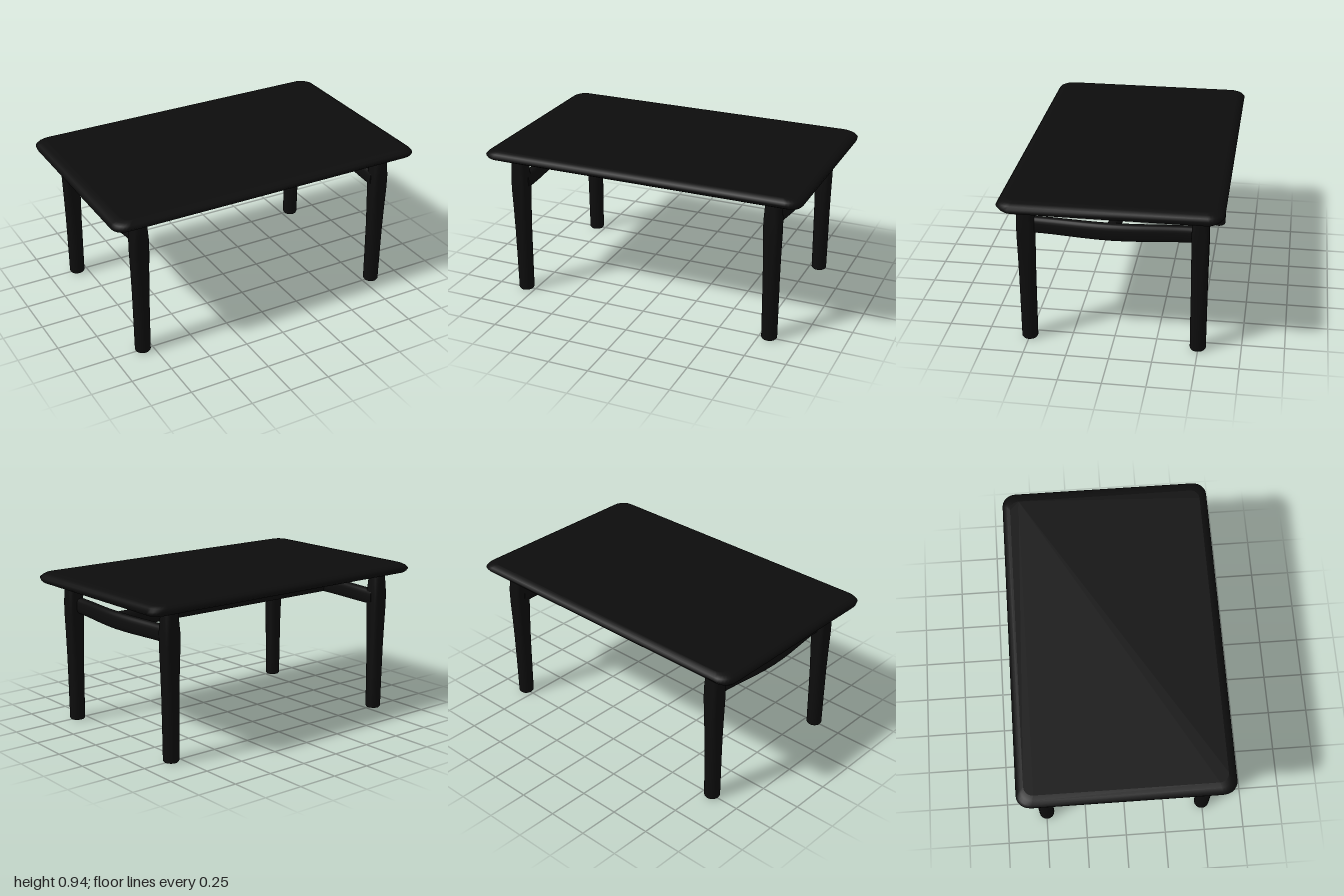
import * as THREE from 'three';

const paint = new THREE.MeshStandardMaterial({ color: 0x0d0d0d });

// Skin over closed rings (each counterclockwise seen from the far end), with flat caps.
function loft(name, rings) {
  const n = rings[0].length, last = rings.length - 1;
  const pos = [], idx = [];
  const add = (ring) => ring.forEach((p) => pos.push(...p));
  rings.forEach(add);
  for (let i = 0; i < last; i++) {
    for (let j = 0; j < n; j++) {
      const a = i * n + j, b = i * n + (j + 1) % n;
      idx.push(a, b, b + n, a, b + n, a + n);
    }
  }
  [rings[0], rings[last]].forEach((ring, end) => {
    const s = pos.length / 3;
    add(ring);
    for (let j = 1; j < n - 1; j++) {
      if (end) idx.push(s, s + j, s + j + 1);
      else idx.push(s, s + j + 1, s + j);
    }
  });
  const geo = new THREE.BufferGeometry();
  geo.setAttribute('position', new THREE.Float32BufferAttribute(pos, 3));
  geo.setIndex(idx);
  geo.computeVertexNormals();
  const mesh = new THREE.Mesh(geo, paint);
  mesh.name = name;
  return mesh;
}

// Superellipse outline: power 2 is round, higher is squarer.
function oval(rx, ry, power, n = 24) {
  const bend = (v) => Math.sign(v) * Math.pow(Math.abs(v), 2 / power);
  return Array.from({ length: n }, (_, i) => {
    const a = (i / n) * Math.PI * 2;
    return [rx * bend(Math.cos(a)), ry * bend(Math.sin(a))];
  });
}

// Rectangle outline with rounded corners.
function roundedRect(hx, hz, r, steps = 6) {
  const pts = [];
  [[1, 1], [-1, 1], [-1, -1], [1, -1]].forEach(([sx, sz], q) => {
    for (let i = 0; i <= steps; i++) {
      const a = (q + i / steps) * Math.PI / 2;
      pts.push([sx * (hx - r) + r * Math.cos(a), sz * (hz - r) + r * Math.sin(a)]);
    }
  });
  return pts;
}

export function createModel() {
  const table = new THREE.Group();
  table.name = 'table';

  // Top with a softened, tapering edge: [y, half length, half depth, corner radius]
  table.add(loft('tableTop', [
    [0.885, 0.985, 0.6, 0.06],
    [0.897, 0.997, 0.62, 0.075],
    [0.915, 1, 0.635, 0.08],
    [0.93, 0.987, 0.622, 0.075],
    [0.941, 0.965, 0.605, 0.065],
    [0.945, 0.935, 0.588, 0.055],
  ].map(([y, hx, hz, r]) => roundedRect(hx, hz, r).map(([x, z]) => [x, y, -z]))));

  // Legs: round at the foot, squarer at the rail joint: [y, radius, power]
  const legSections = [
    [0, 0.042, 2], [0.008, 0.047, 2], [0.2, 0.048, 2.1], [0.4, 0.048, 2.5],
    [0.55, 0.049, 3.2], [0.68, 0.05, 4.5], [0.76, 0.05, 4.5], [0.83, 0.048, 3], [0.89, 0.047, 2.3],
  ];
  for (const sx of [1, -1]) {
    for (const sz of [1, -1]) {
      const leg = loft(`${sz > 0 ? 'front' : 'back'}${sx > 0 ? 'Left' : 'Right'}Leg`,
        legSections.map(([y, r, p]) => oval(r, r, p).map(([x, z]) => [x, y, -z])));
      leg.position.set(sx * 0.813, 0, sz * 0.498);
      table.add(leg);
    }

    // Side rails bow gently outward between the legs
    const rings = [];
    for (let i = 0; i <= 12; i++) {
      const t = i / 6 - 1;
      const bow = Math.cos(t * Math.PI / 2) ** 2;
      const cx = sx * (0.79 + 0.036 * bow);
      rings.push(oval(0.032, 0.049 + 0.003 * bow, 2.6)
        .map(([x, y]) => [cx + x, 0.732 + y, t * 0.5]));
    }
    table.add(loft(sx > 0 ? 'leftRail' : 'rightRail', rings));
  }

  // Long stretcher joining the middles of the side rails
  table.add(loft('centreStretcher', [-0.825, -0.4, 0, 0.4, 0.825].map((x) =>
    oval(0.051, 0.035, 2.6).map(([y, z]) => [x, 0.732 + y, z]))));

  return table;
}
